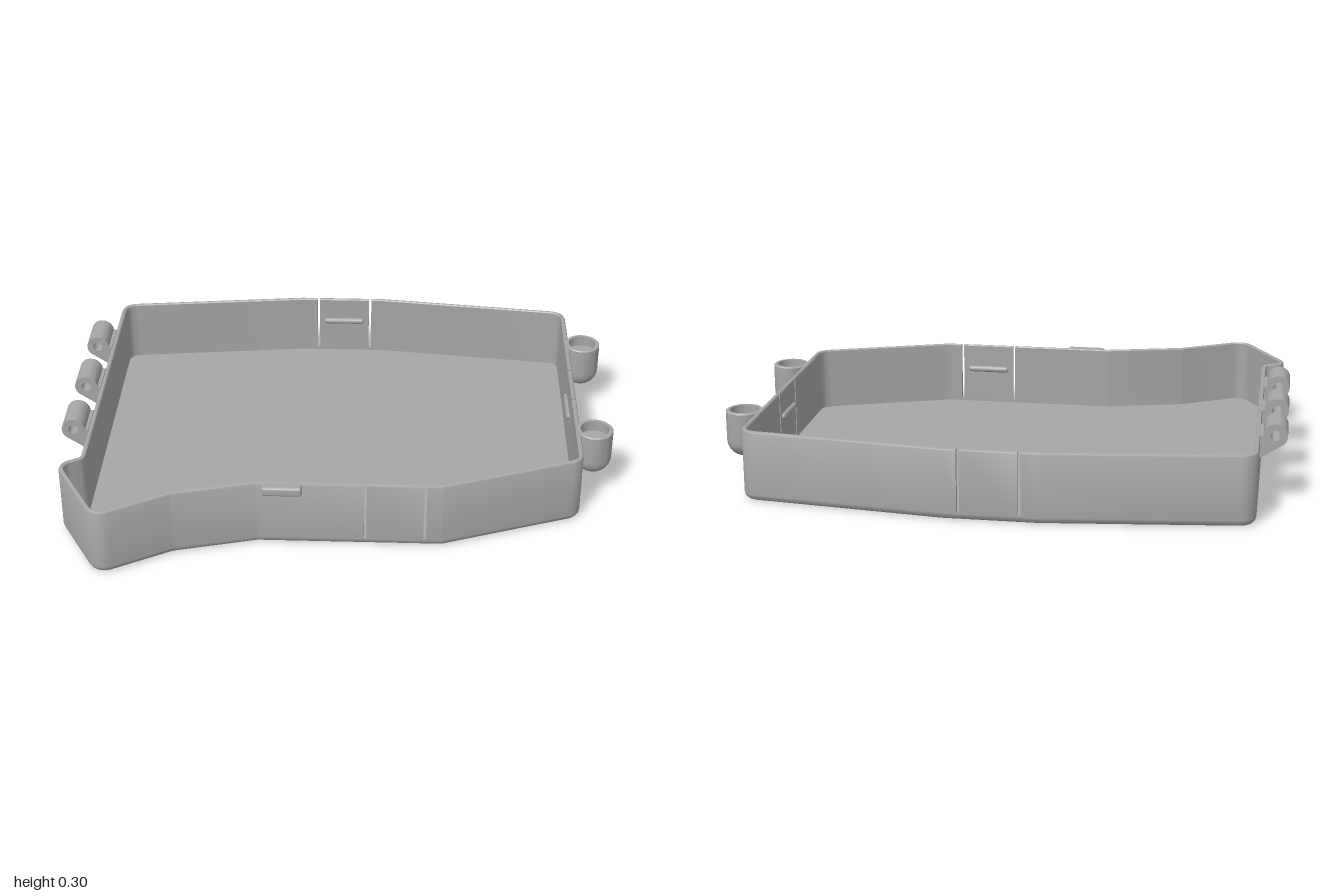
import * as THREE from 'three';
import { toCreasedNormals } from 'three/addons/utils/BufferGeometryUtils.js';
import { RoundedBoxGeometry } from 'three/addons/geometries/RoundedBoxGeometry.js';

const grey = new THREE.MeshStandardMaterial({ color: 0xa6a6a6 });
grey.name = 'grey plastic';

// Outline corners: x, z, corner radius, and distances along the next edge where slits are cut
const corners = [
  [-0.905, -0.692, 0.06], [-0.18, -0.775, 0.03, 0.065, 0.275], [0.15, -0.775, 0.03],
  [0.88, -0.692, 0.06, 0.457, 0.667], [0.88, 0.385, 0.06], [0.38, 0.57, 0.04, 0.06, 0.27],
  [-0.27, 0.57, 0.04], [-0.56, 0.645, 0.04], [-0.812, 0.79, 0.06],
  [-0.992, 0.471, 0.055], [-0.905, 0.425, 0.02],
];
const SLIT = 0.005, HEIGHT = 0.255, WALL = 0.017, FLOOR = 0.02, SLIT_BASE = 0.03;

// Outline moved inward by d, with rounded corners; also lists where slits start
function outline(d) {
  const n = corners.length, points = [], slits = [];
  const at = (i) => new THREE.Vector2(corners[(i + n) % n][0], corners[(i + n) % n][1]);
  const inward = (v) => new THREE.Vector2(-v.y, v.x);
  corners.forEach(([, , r, ...cuts], i) => {
    const p = at(i);
    const a = p.clone().sub(at(i - 1)).normalize(), b = at(i + 1).sub(p).normalize();
    const na = inward(a), nb = inward(b);
    const sign = Math.sign(a.cross(b));
    const radius = Math.max(r - sign * d, 0.004);
    const mitre = na.clone().add(nb).divideScalar(1 + na.dot(nb));
    const centre = p.clone().addScaledVector(mitre, d + sign * radius);
    const turn = Math.atan2(a.cross(b), a.dot(b));
    for (let k = 0; k <= 6; k++) {
      const nk = na.clone().rotateAround(new THREE.Vector2(), turn * k / 6);
      points.push(centre.clone().addScaledVector(nk, -sign * radius));
    }
    for (const s of cuts) {
      slits.push(points.length);
      for (const e of [-SLIT, SLIT])
        points.push(p.clone().addScaledVector(b, s + e).addScaledVector(nb, d));
    }
  });
  return { points, slits };
}

// Wall cross-section as [inset, height]: bottom fillet, outside, rim, inside
function wallProfile() {
  const R = 0.025, profile = [];
  for (let k = 0; k <= 5; k++) {
    const t = k / 5 * Math.PI / 2;
    profile.push([R * (1 - Math.sin(t)), R * (1 - Math.cos(t))]);
  }
  const first = profile.length;
  profile.push([0, SLIT_BASE], [0, HEIGHT - 0.008], [0.0025, HEIGHT - 0.0025], [0.008, HEIGHT],
    [WALL - 0.004, HEIGHT], [WALL, HEIGHT - 0.004], [WALL, SLIT_BASE]);
  const last = profile.length - 1;
  profile.push([WALL, FLOOR]);
  return { profile, first, last };
}

function wallGeometry() {
  const { profile, first, last } = wallProfile();
  const { slits } = outline(0);
  const rings = profile.map(([d, y]) => outline(d).points.map((p) => [p.x, y, p.y]));
  const n = rings[0].length, pos = [];
  const tri = (a, b, c) => pos.push(...a, ...b, ...c);
  const quad = (a, b, c, d) => { tri(a, b, c); tri(a, c, d); };
  for (let j = 0; j + 1 < rings.length; j++)
    for (let i = 0; i < n; i++) {
      if (slits.includes(i) && j >= first && j < last) continue;
      const k = (i + 1) % n;
      quad(rings[j][i], rings[j + 1][i], rings[j + 1][k], rings[j][k]);
    }
  // Cut faces inside each slit
  for (const i of slits) {
    for (let j = first + 1; j < last; j++) {
      tri(rings[first][i], rings[j][i], rings[j + 1][i]);
      tri(rings[first][i + 1], rings[j + 1][i + 1], rings[j][i + 1]);
    }
    quad(rings[first][i], rings[last][i], rings[last][i + 1], rings[first][i + 1]);
  }
  const g = new THREE.BufferGeometry();
  g.setAttribute('position', new THREE.Float32BufferAttribute(pos, 3));
  return toCreasedNormals(g, 0.5);
}

// Knuckle with a pin hole and a short web reaching down to the wall
function hingeGeometry(length) {
  const s = new THREE.Shape();
  const r = 0.042;
  s.moveTo(0.054, 0);
  s.lineTo(r, 0);
  s.absarc(0, 0, r, 0, Math.PI * 1.25, false);
  s.lineTo(0.054, -0.085);
  s.closePath();
  const hole = new THREE.Path();
  hole.absarc(0, 0, 0.018, 0, Math.PI * 2, true);
  s.holes.push(hole);
  const g = new THREE.ExtrudeGeometry(s, { depth: length, bevelEnabled: false, curveSegments: 20 });
  g.translate(0, 0, -length / 2);
  return toCreasedNormals(g, 0.5);
}

// Round-bottomed cup with a shallow recess on top
function cupGeometry() {
  const R = 0.067, f = 0.06, base = 0.085, pts = [[0, base]];
  for (let k = 0; k <= 8; k++) {
    const t = k / 8 * Math.PI / 2;
    pts.push([R - f + f * Math.sin(t), base + f * (1 - Math.cos(t))]);
  }
  pts.push([R, HEIGHT - 0.004], [R - 0.004, HEIGHT], [0.052, HEIGHT], [0.052, 0.215], [0, 0.215]);
  return toCreasedNormals(new THREE.LatheGeometry(pts.map((p) => new THREE.Vector2(...p)), 40), 0.5);
}

export function createModel() {
  const model = new THREE.Group();
  model.name = 'tray';
  const add = (name, geometry, x = 0, y = 0, z = 0) => {
    const m = new THREE.Mesh(geometry, grey);
    m.name = name;
    m.position.set(x, y, z);
    model.add(m);
    return m;
  };

  // Tray shell
  add('wall', wallGeometry());
  const inner = outline(WALL).points.map((p) => new THREE.Vector2(p.x, -p.y));
  add('floor', new THREE.ShapeGeometry(new THREE.Shape(inner)).rotateX(-Math.PI / 2), 0, FLOOR, 0);
  add('underside', new THREE.ShapeGeometry(new THREE.Shape(outline(0.025).points)).rotateX(Math.PI / 2));

  // Hinge knuckles on the right wall
  for (const z of [-0.405, -0.108, 0.19])
    add('hingeKnuckle', hingeGeometry(0.137), -0.957, 0.257, z);

  // Cups on the left wall
  for (const z of [-0.44, 0.178]) add('cup', cupGeometry(), 0.933, 0, z);

  // Catch ridges inside the three slit panels
  const ridge = () => new THREE.CapsuleGeometry(0.012, 0.14, 6, 14);
  add('backCatch', ridge(), -0.01, 0.157, -0.757).rotation.z = Math.PI / 2;
  add('frontCatch', ridge(), 0.215, 0.157, 0.552).rotation.z = Math.PI / 2;
  add('sideCatch', ridge(), 0.862, 0.157, -0.13).rotation.x = Math.PI / 2;

  // Thumb tab on the front
  add('thumbTab', new RoundedBoxGeometry(0.142, 0.035, 0.042, 3, 0.01), -0.181, 0.2365, 0.58);

  return model;
}
